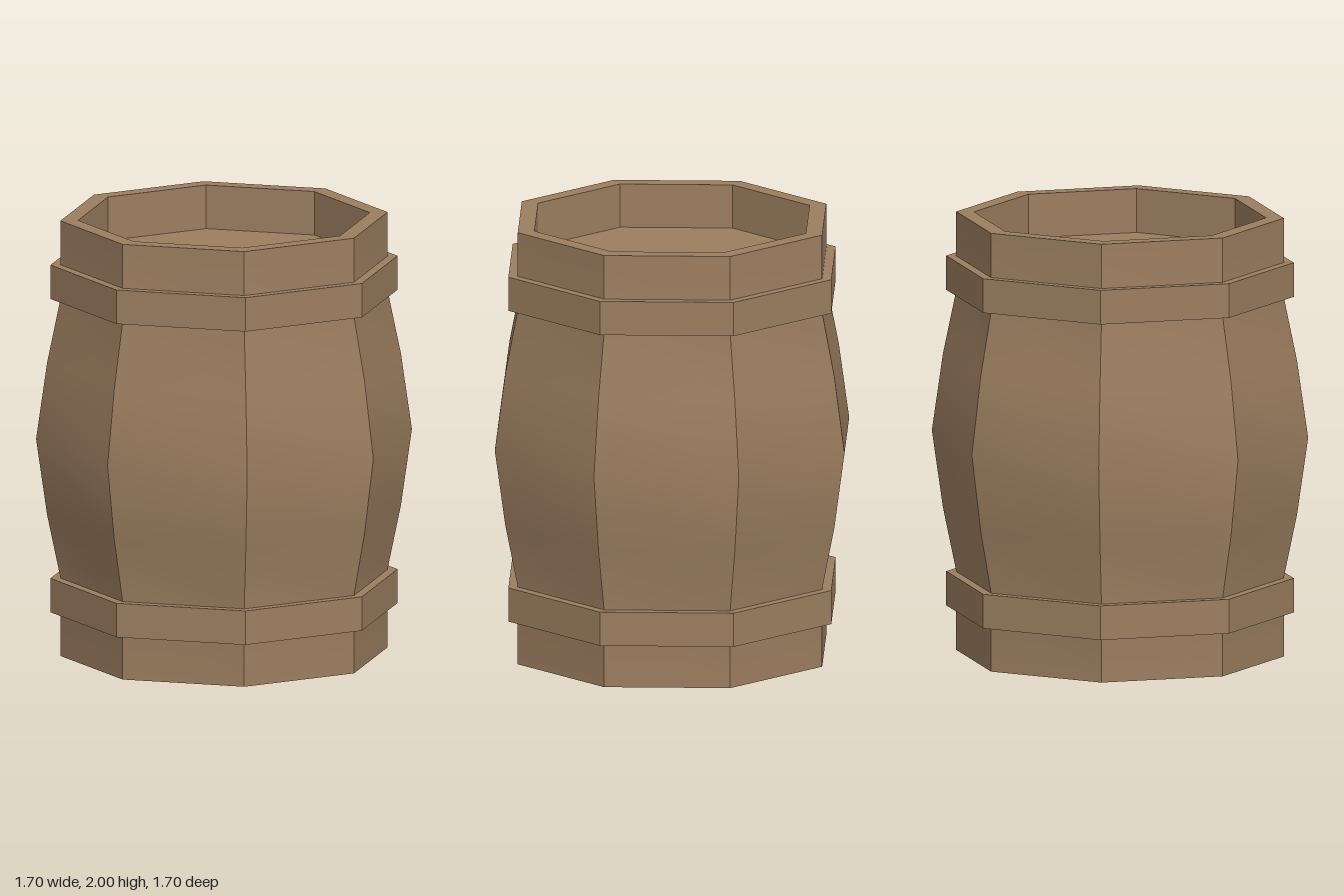
import * as THREE from 'three';
import { toCreasedNormals } from 'three/addons/utils/BufferGeometryUtils.js';

const SIDES = 8;

// Eight-sided turned part: crisp between staves, smooth along their curve
function turned(name, profile, material) {
  const points = profile.map(([r, y]) => new THREE.Vector2(r, y));
  const geometry = toCreasedNormals(new THREE.LatheGeometry(points, SIDES), 0.5);
  const mesh = new THREE.Mesh(geometry, material);
  mesh.name = name;
  return mesh;
}

export function createModel() {
  const barrel = new THREE.Group();
  barrel.name = 'barrel';
  const wood = new THREE.MeshStandardMaterial({ color: 0x9c7e60 });

  // Staves with a rim and recessed lid at each end
  barrel.add(turned('staves', [
    [0, 0.2], [0.66, 0.2], [0.66, 0], [0.74, 0],
    [0.74, 0.36], [0.80, 0.65], [0.85, 1], [0.80, 1.35], [0.74, 1.64],
    [0.74, 2], [0.66, 2], [0.66, 1.8], [0, 1.8],
  ], wood));

  // Hoops, mirrored about the middle
  for (const [name, y] of [['lowerHoop', 0.28], ['upperHoop', 1.72]]) {
    const h = 0.078;
    barrel.add(turned(name, [
      [0.70, y - h], [0.785, y - h], [0.785, y + h], [0.70, y + h], [0.70, y - h],
    ], wood));
  }
  return barrel;
}
